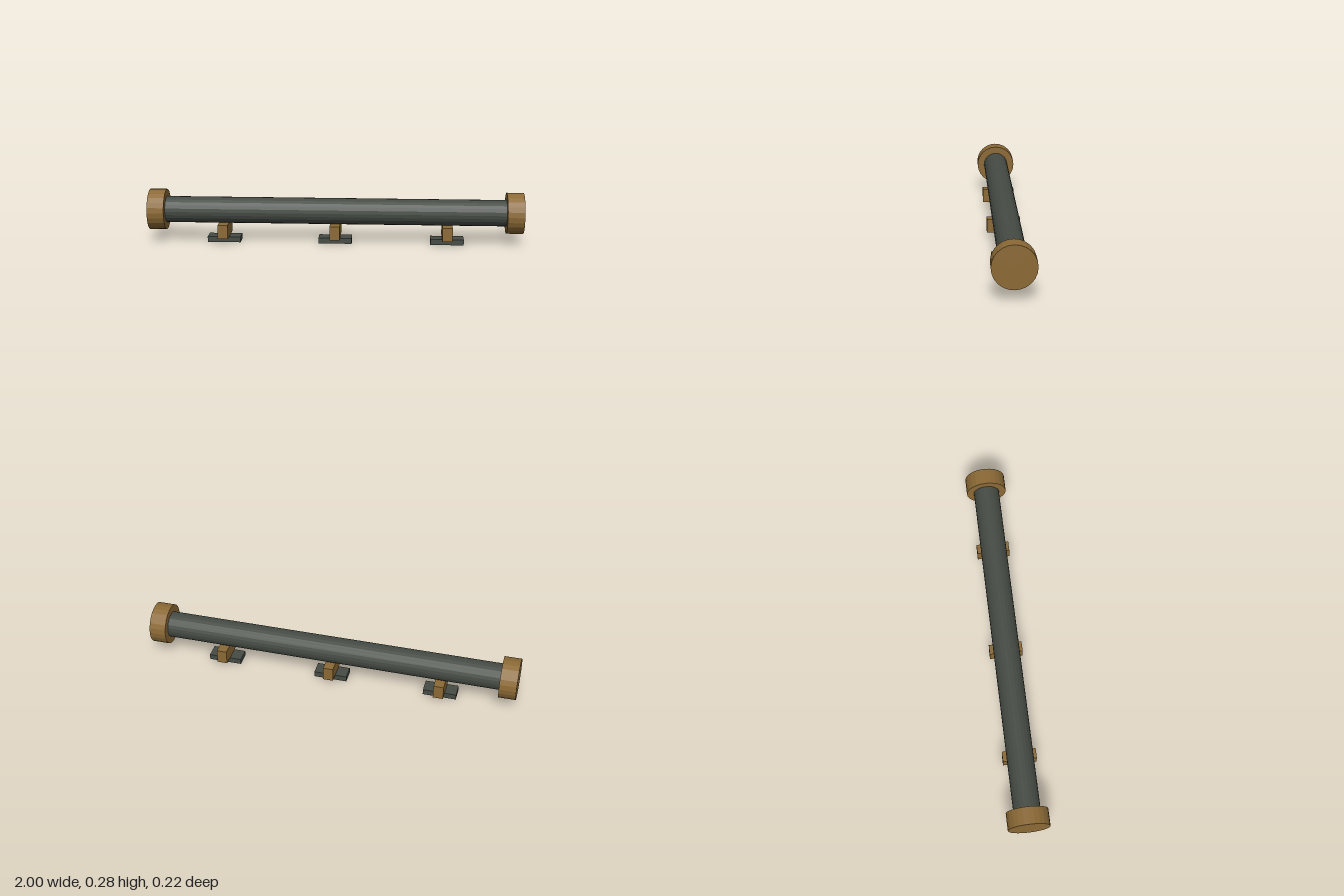
import * as THREE from 'three';

export function createModel() {
  const model = new THREE.Group();
  model.name = 'mountedPipe';

  const gunmetal = new THREE.MeshStandardMaterial({ color: 0x464c45 });
  gunmetal.name = 'gunmetal';
  gunmetal.flatShading = true;
  const bronze = new THREE.MeshStandardMaterial({ color: 0x8c6a36 });
  bronze.name = 'bronze';
  bronze.flatShading = true;

  const add = (parent, name, geometry, material, x, y) => {
    const mesh = new THREE.Mesh(geometry, material);
    mesh.name = name;
    mesh.position.set(x, y, 0);
    parent.add(mesh);
  };
  // Cylinder lying along x
  const rod = (radius, length) =>
    new THREE.CylinderGeometry(radius, radius, length, 24).rotateZ(Math.PI / 2);

  const axisY = 0.17;

  // Long pipe with a wide collar on each end
  add(model, 'pipe', rod(0.07, 1.86), gunmetal, 0, axisY);
  add(model, 'leftEndCap', rod(0.109, 0.09), bronze, 0.955, axisY);
  add(model, 'rightEndCap', rod(0.109, 0.09), bronze, -0.955, axisY);

  // Three supports: a cross block on a foot plate
  for (const [name, x] of [['rightSupport', -0.598], ['middleSupport', 0], ['leftSupport', 0.598]]) {
    const support = new THREE.Group();
    support.name = name;
    support.position.x = x;
    add(support, 'crossBlock', new THREE.BoxGeometry(0.054, 0.075, 0.178), bronze, 0, 0.0675);
    add(support, 'footPlate', new THREE.BoxGeometry(0.178, 0.03, 0.08), gunmetal, 0, 0.015);
    model.add(support);
  }

  return model;
}
